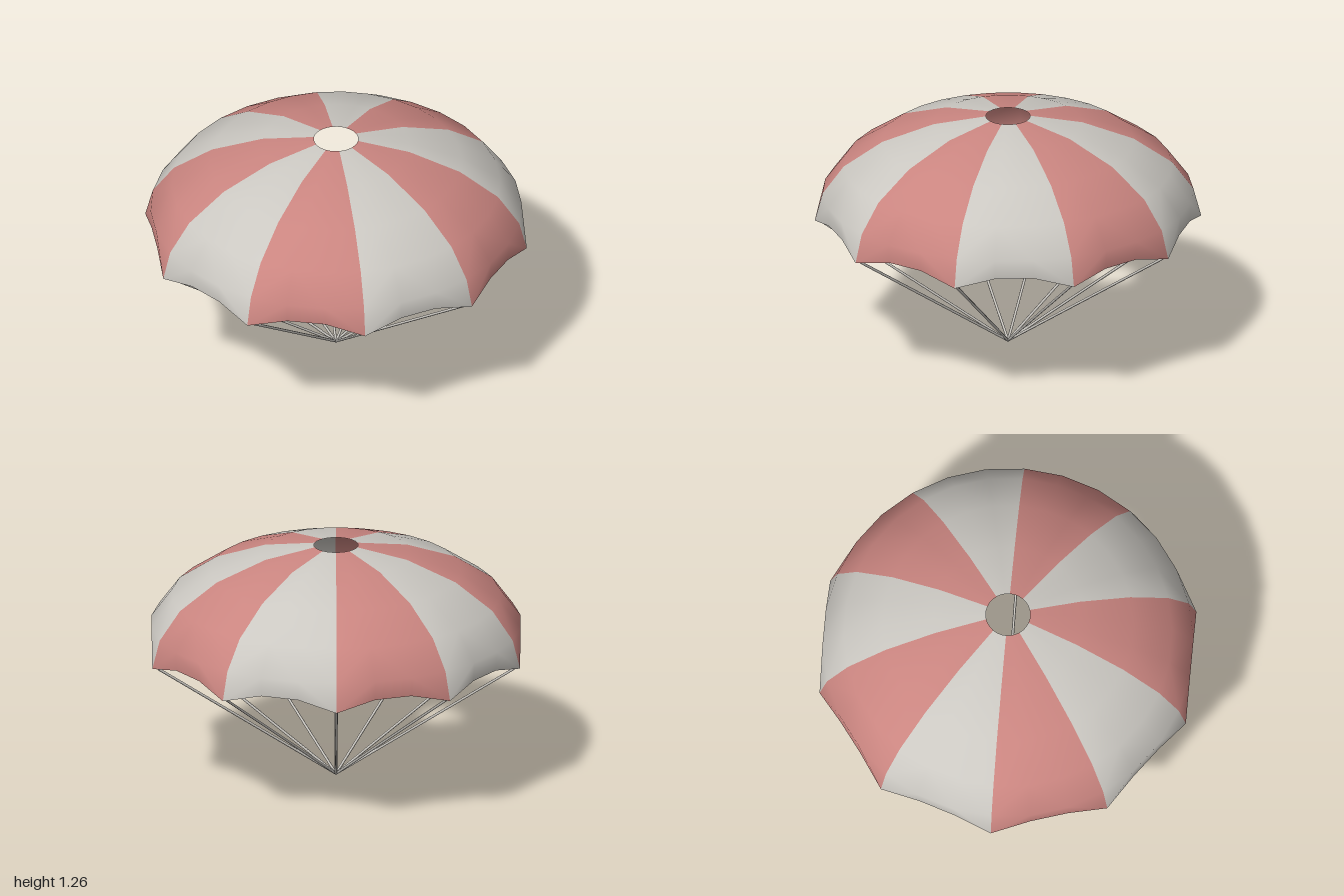
import * as THREE from 'three';

const GORES = 10;
const STEPS = 3; // facets across each gore
const COLS = GORES * STEPS;

// Canopy rings from the vent down to the hem: [radius, height]
const RINGS = [[0.115, 1.26], [0.385, 1.22], [0.65, 1.125], [0.85, 0.99], [0.96, 0.84], [1, 0.69]];
const HEM_MID = [0.955, 0.74]; // the hem is drawn in and up between the seams

function canopyGeometry() {
  const positions = [];
  RINGS.forEach((ring, i) => {
    for (let j = 0; j < COLS; j++) {
      const scallop = i === RINGS.length - 1 && j % STEPS !== 0;
      const [r, y] = scallop ? HEM_MID : ring;
      const a = (j / COLS) * Math.PI * 2;
      positions.push(r * Math.cos(a), y, r * Math.sin(a));
    }
  });

  // One material group per gore, sharing vertices so the cloth stays smooth
  const geometry = new THREE.BufferGeometry();
  const index = [];
  for (let g = 0; g < GORES; g++) {
    const start = index.length;
    for (let s = 0; s < STEPS; s++) {
      const j = g * STEPS + s;
      const k = (j + 1) % COLS;
      for (let i = 0; i < RINGS.length - 1; i++) {
        const a = i * COLS + j, b = i * COLS + k;
        const c = a + COLS, d = b + COLS;
        // mirror the diagonal on the last facet so gores are symmetric
        if (s === STEPS - 1) index.push(a, b, d, a, d, c);
        else index.push(a, b, c, b, d, c);
      }
    }
    geometry.addGroup(start, index.length - start, g % 2);
  }
  geometry.setAttribute('position', new THREE.Float32BufferAttribute(positions, 3));
  geometry.setIndex(index);
  geometry.computeVertexNormals();
  return geometry;
}

export function createModel() {
  const red = new THREE.MeshStandardMaterial({ color: 0xca8580, side: THREE.DoubleSide });
  red.name = 'faded red cloth';
  const grey = new THREE.MeshStandardMaterial({ color: 0xcbc8c2, side: THREE.DoubleSide });
  grey.name = 'pale grey cloth';

  const model = new THREE.Group();
  model.name = 'parachute';

  // Striped canopy with an open vent
  const canopy = new THREE.Mesh(canopyGeometry(), [red, grey]);
  canopy.name = 'canopy';
  model.add(canopy);

  // Suspension lines from each seam to the gathering point
  const lines = new THREE.Group();
  lines.name = 'suspensionLines';
  const bottom = new THREE.Vector3(0, 0.006, 0);
  const up = new THREE.Vector3(0, 1, 0);
  for (let g = 0; g < GORES; g++) {
    const a = (g / GORES) * Math.PI * 2;
    const top = new THREE.Vector3(0.965 * Math.cos(a), 0.685, 0.965 * Math.sin(a));
    const span = top.clone().sub(bottom);
    const line = new THREE.Mesh(new THREE.CylinderGeometry(0.007, 0.007, span.length(), 6), grey);
    line.position.copy(bottom).addScaledVector(span, 0.5);
    line.quaternion.setFromUnitVectors(up, span.normalize());
    line.name = 'suspensionLine';
    lines.add(line);
  }
  model.add(lines);
  return model;
}
